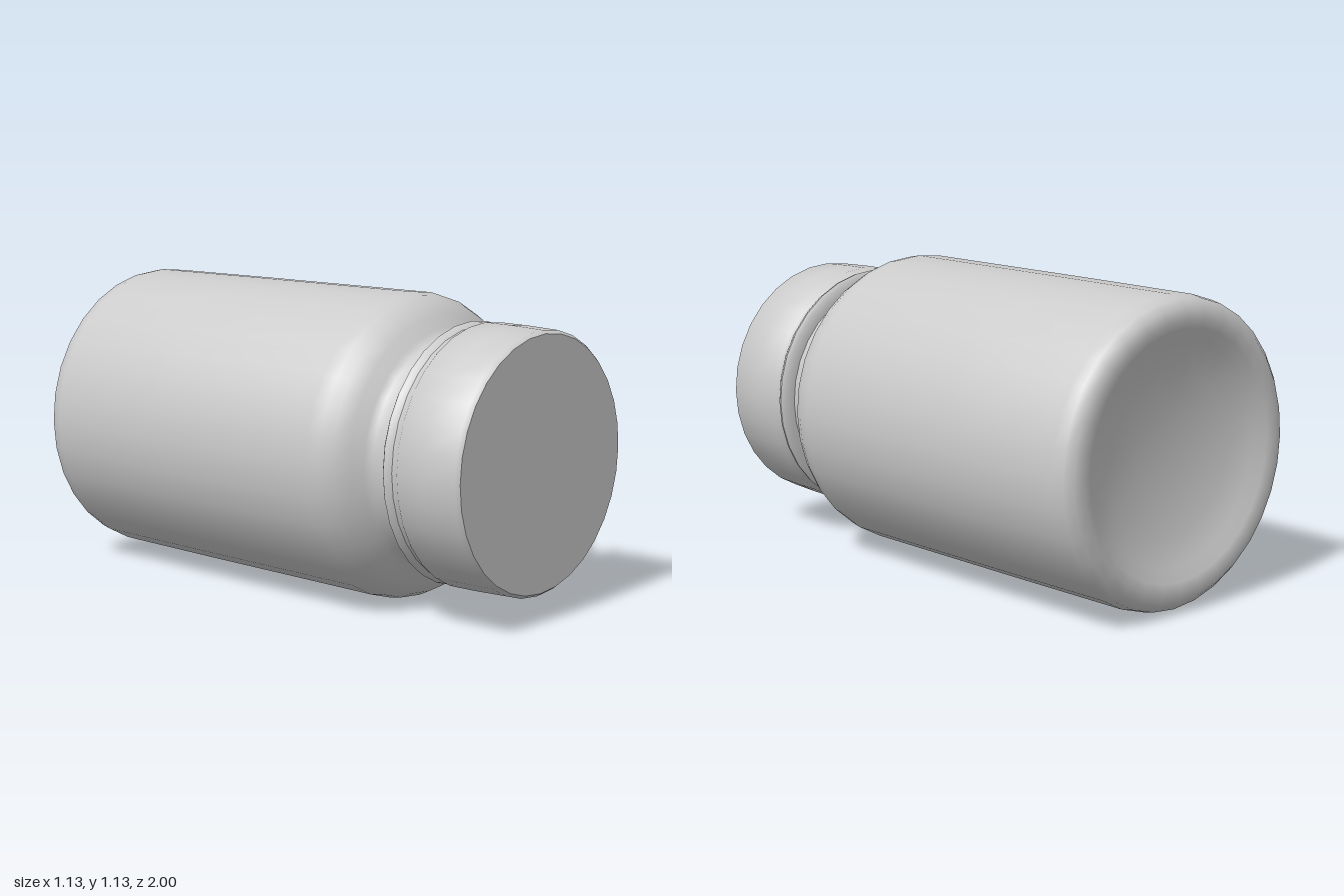
import * as THREE from 'three';
import { toCreasedNormals } from 'three/addons/utils/BufferGeometryUtils.js';

const SIDES = 32;
const material = new THREE.MeshStandardMaterial({ color: 0xcccccc });

// Turns a [radius, z] profile around the z axis, listed from back to front.
function turned(name, profile, y, crease) {
  const points = profile.map(([r, z]) => new THREE.Vector2(r, z));
  const geometry = new THREE.LatheGeometry(points, SIDES);
  geometry.rotateX(Math.PI / 2);
  const mesh = new THREE.Mesh(toCreasedNormals(geometry, crease), material);
  mesh.name = name;
  mesh.position.y = y;
  return mesh;
}

export function createModel() {
  const group = new THREE.Group();
  group.name = 'bottle';

  // Body: dished base, rounded heel, straight wall, shoulder and neck
  group.add(turned('body', [
    [0, -0.91], [0.15, -0.915], [0.3, -0.935], [0.4, -0.965], [0.45, -0.99],
    [0.485, -1], [0.525, -0.99], [0.552, -0.965], [0.561, -0.92],
    [0.564, -0.4], [0.566, 0.4], [0.557, 0.45], [0.535, 0.495],
    [0.495, 0.54], [0.452, 0.568], [0.43, 0.59], [0.425, 0.62],
    [0.425, 0.7], [0, 0.7],
  ], 0.57, 1.2));

  // Cap: retaining lip, shallow groove and plain skirt with a flat top
  group.add(turned('cap', [
    [0, 0.66], [0.43, 0.66], [0.465, 0.667], [0.477, 0.678], [0.474, 0.69],
    [0.463, 0.705], [0.465, 0.722], [0.478, 0.74], [0.477, 0.85],
    [0.472, 0.985], [0.46, 1], [0, 1],
  ], 0.575, 0.7));

  return group;
}
